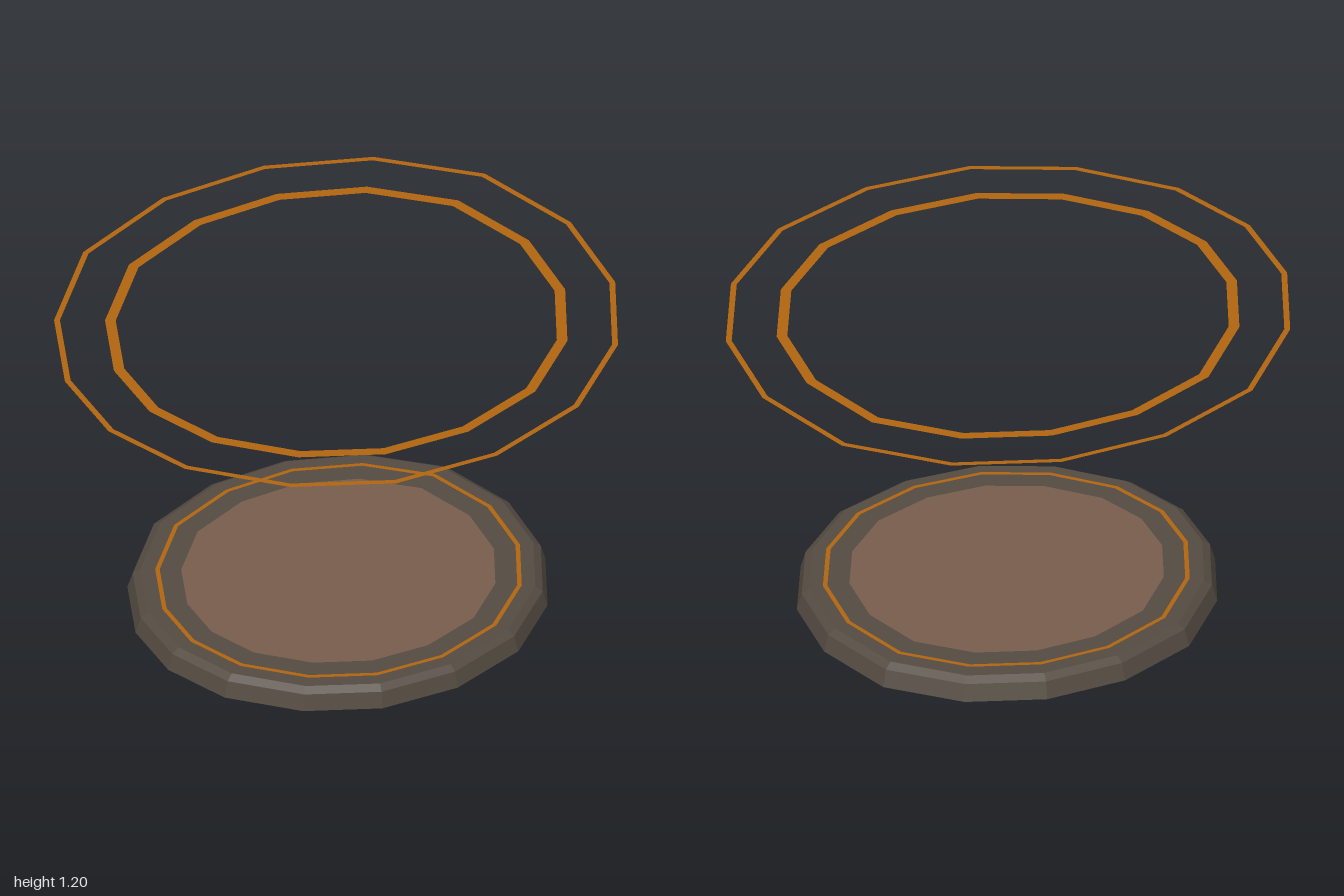
import * as THREE from 'three';

// Irregular sixteen-sided outline (x, z) shared by every part
const OUTLINE = [
  [0.06, -0.997], [0.45, -0.88], [0.743, -0.64], [0.917, -0.32],
  [0.96, 0.06], [0.84, 0.44], [0.605, 0.74], [0.29, 0.925],
  [-0.08, 0.995], [-0.41, 0.92], [-0.675, 0.73], [-0.87, 0.43],
  [-0.96, 0.033], [-0.86, -0.37], [-0.637, -0.693], [-0.325, -0.91],
];

const material = (name, color, side = THREE.FrontSide) => {
  const m = new THREE.MeshStandardMaterial({ color, side, flatShading: true });
  m.name = name;
  return m;
};

// Joins scaled copies of the outline; each level is [scale, y, xOffset, zOffset]
function loft(name, levels, mat) {
  const n = OUTLINE.length;
  const pos = [];
  const point = ([s, y, ox = 0, oz = 0], i) => {
    const [x, z] = OUTLINE[i % n];
    return [x * s + ox, y, z * s + oz];
  };
  for (let k = 0; k < levels.length - 1; k++) {
    const [lo, hi] = [levels[k], levels[k + 1]];
    for (let i = 0; i < n; i++) {
      const a = point(lo, i), b = point(lo, i + 1);
      const c = point(hi, i + 1), d = point(hi, i);
      if (hi[0] > 0) pos.push(...a, ...d, ...c);
      if (lo[0] > 0) pos.push(...a, ...c, ...b);
    }
  }
  const geo = new THREE.BufferGeometry();
  geo.setAttribute('position', new THREE.Float32BufferAttribute(pos, 3));
  geo.computeVertexNormals();
  const mesh = new THREE.Mesh(geo, mat);
  mesh.name = name;
  return mesh;
}

export function createModel() {
  const stone = material('dark stone', 0x544b41);
  const panel = material('brown panel', 0x785c4c);
  const amber = material('amber', 0xb06410, THREE.DoubleSide);

  const group = new THREE.Group();
  group.name = 'platform';
  group.add(
    // Slab: tapered underside, leaning side, small bevel and flat top
    loft('slab', [
      [0, 0.002, 0.007, 0.005], [0.53, 0.002, 0.007, 0.005],
      [0.745, 0.075, 0.007, 0.005], [0.727, 0.135, 0.009, 0.007],
      [0.7, 0.153, 0.01, 0.008], [0, 0.153, 0.012, 0.01],
    ], stone),
    // Inlays on the top face
    loft('topPanel', [[0.557, 0.156, 0.013, 0.012], [0, 0.156, 0.013, 0.012]], panel),
    loft('topInlay', [[0.65, 0.156, 0.013, 0.01], [0.634, 0.156, 0.013, 0.01]], amber),
    // Trim around the foot
    loft('footTrim', [[0.53, 0, 0.007, 0.005], [0.512, 0, 0.007, 0.005]], amber),
    // Flat floating rings
    loft('innerFloatingRing', [[0.82, 1.2], [0.782, 1.2]], amber),
    loft('outerFloatingRing', [[1, 1.2], [0.979, 1.2]], amber),
  );
  return group;
}
